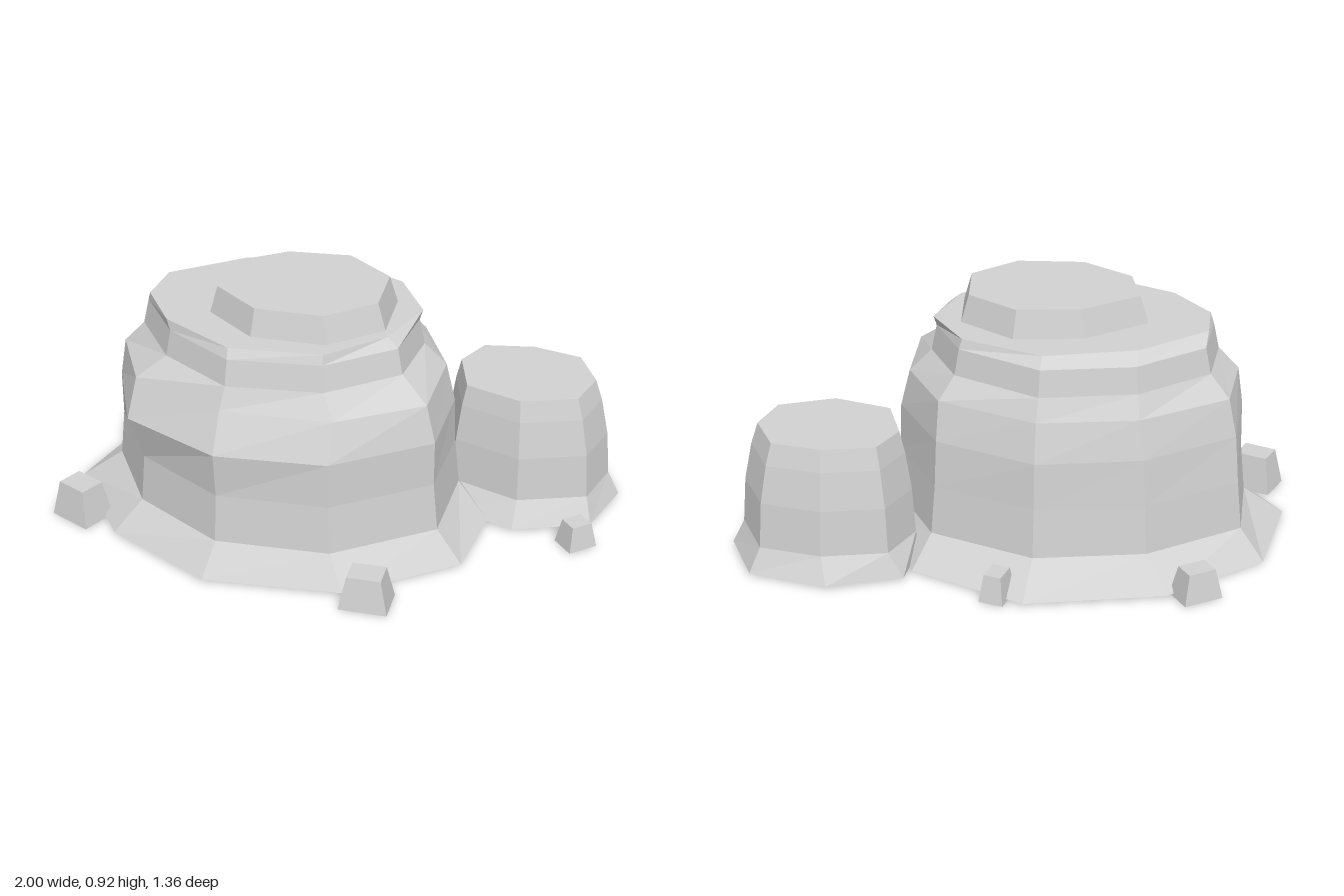
import * as THREE from 'three';

const stone = new THREE.MeshStandardMaterial({ color: 0xd2d2d2, side: THREE.DoubleSide });
stone.name = 'light grey stone';

// Outline [x, z, x, z, ...] scaled about a centre and lifted to height y
function ring(outline, y, scale = 1, cx = 0, cz = 0) {
  const points = [];
  for (let i = 0; i < outline.length; i += 2) {
    points.push(new THREE.Vector3(
      cx + (outline[i] - cx) * scale, y, cz + (outline[i + 1] - cz) * scale));
  }
  return points;
}

// Faceted skin through stacked rings, with a flat top and an optional floor
function loft(name, rings, floor = false) {
  const corners = [];
  const n = rings[0].length;
  const middle = (r) => r.reduce((sum, p) => sum.add(p), new THREE.Vector3()).divideScalar(n);
  const top = rings[rings.length - 1];
  const topMiddle = middle(top);
  const floorMiddle = middle(rings[0]);
  for (let i = 0; i < n; i++) {
    const j = (i + 1) % n;
    for (let k = 0; k < rings.length - 1; k++) {
      const a = rings[k], b = rings[k + 1];
      corners.push(a[i], a[j], b[j], a[i], b[j], b[i]);
    }
    corners.push(top[i], top[j], topMiddle);
    if (floor) corners.push(rings[0][j], rings[0][i], floorMiddle);
  }
  const geometry = new THREE.BufferGeometry().setFromPoints(corners);
  geometry.computeVertexNormals();
  const mesh = new THREE.Mesh(geometry, stone);
  mesh.name = name;
  return mesh;
}

// Main boulder: flared skirt, bulging body and stepped shoulder
function mainBoulder() {
  const skirt = [0.55, 0.29, 0.57, -0.02, 0.31, -0.49, -0.11, -0.67, -0.6, -0.55,
    -0.93, -0.26, -1, 0.14, -0.72, 0.48, -0.3, 0.665, 0.2, 0.59];
  const body = [0.43, 0.25, 0.42, -0.085, 0.24, -0.39, -0.13, -0.525, -0.51, -0.445,
    -0.825, -0.215, -0.83, 0.1, -0.625, 0.385, -0.28, 0.555, 0.12, 0.51];
  const bulge = [0.43, 0.25, 0.415, -0.08, 0.235, -0.375, -0.13, -0.515, -0.5, -0.435,
    -0.81, -0.2, -0.825, 0.11, -0.665, 0.42, -0.28, 0.57, 0.12, 0.51];
  const ledge = [0.395, 0.24, 0.38, -0.08, 0.23, -0.34, -0.13, -0.48, -0.48, -0.41,
    -0.78, -0.19, -0.805, 0.1, -0.65, 0.36, -0.28, 0.495, 0.12, 0.45];
  const shoulder = [0.29, 0.19, 0.3, -0.065, 0.18, -0.29, -0.135, -0.445, -0.47, -0.37,
    -0.71, -0.16, -0.73, 0.09, -0.55, 0.31, -0.27, 0.46, 0.07, 0.4];
  const crown = [0.23, 0.17, 0.29, -0.07, 0.155, -0.27, -0.14, -0.385, -0.465, -0.29,
    -0.695, -0.08, -0.695, 0.1, -0.555, 0.28, -0.27, 0.42, 0.06, 0.37];
  return loft('mainBoulder', [
    ring(skirt, 0.01),
    ring(body, 0.12, 1.03, -0.2),
    ring(body, 0.3),
    ring(bulge, 0.47),
    ring(ledge, 0.61),
    ring(shoulder, 0.69),
    ring(shoulder, 0.785, 0.96, -0.2, -0.02),
    ring(crown, 0.82),
  ]);
}

// Low slab on the summit
function summitSlab() {
  const slab = [0.21, 0.13, 0.185, -0.11, -0.02, -0.25, -0.27, -0.21,
    -0.48, -0.035, -0.43, 0.18, -0.225, 0.32, 0.045, 0.3];
  return loft('summitSlab', [ring(slab, 0.815), ring(slab, 0.92, 0.91, -0.13, 0.04)]);
}

// Smaller boulder leaning against the back left side
function sideBoulder() {
  const foot = [0.67, 0.015, 0.94, -0.11, 1, -0.36, 0.88, -0.585,
    0.59, -0.645, 0.33, -0.545, 0.31, -0.32, 0.42, -0.06];
  const crown = [0.655, -0.1, 0.85, -0.185, 0.885, -0.345, 0.795, -0.505,
    0.61, -0.535, 0.425, -0.49, 0.37, -0.35, 0.44, -0.16];
  const rings = [ring(foot, 0.01)];
  for (const [y, scale] of [[0.1, 1.24], [0.27, 1.19], [0.41, 1.09], [0.49, 1]]) {
    rings.push(ring(crown, y, scale, 0.59, -0.305));
  }
  return loft('sideBoulder', rings);
}

// Loose tapered stone
function pebble(name, x, z, width, depth, height, degrees) {
  const w = width / 2, d = depth / 2;
  const base = [w, d, w, -d, -w, -d, -w, d];
  const mesh = loft(name, [ring(base, 0), ring(base, height, 0.7)], true);
  mesh.position.set(x, 0, z);
  mesh.rotation.y = THREE.MathUtils.degToRad(degrees);
  return mesh;
}

export function createModel() {
  const model = new THREE.Group();
  model.name = 'rockCluster';
  model.add(
    mainBoulder(),
    summitSlab(),
    sideBoulder(),
    pebble('frontPebble', 0.29, 0.6, 0.175, 0.135, 0.125, 4),
    pebble('rightPebble', -0.89, 0.385, 0.175, 0.14, 0.14, -22),
    pebble('backRightPebble', -0.7, -0.515, 0.15, 0.11, 0.11, 33),
    pebble('backPebble', -0.013, -0.612, 0.09, 0.12, 0.1, -15),
    pebble('leftPebble', 0.91, 0.013, 0.115, 0.1, 0.095, 45),
  );
  return model;
}
